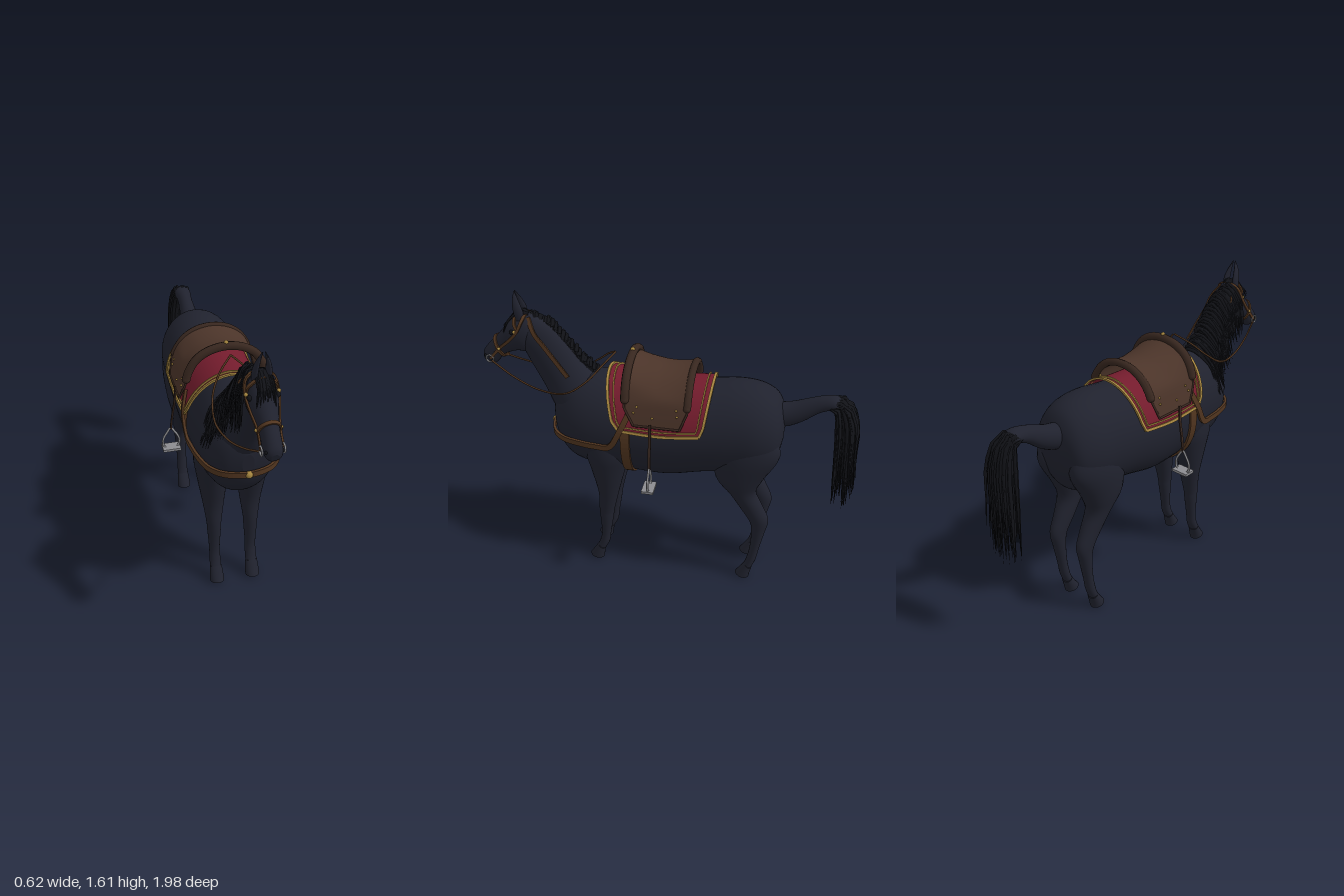
import * as THREE from 'three';
import { mergeGeometries } from 'three/addons/utils/BufferGeometryUtils.js';

const mat = (name, color, side = THREE.FrontSide) => {
  const m = new THREE.MeshStandardMaterial({ color, side });
  m.name = name;
  return m;
};
const V = (x, y, z) => new THREE.Vector3(x, y, z);
const lerp = THREE.MathUtils.lerp;
const mirror = (pts, s) => pts.map(p => V(p[0] * s, p[1], p[2]));
const curve = (pts, closed = false) => new THREE.CatmullRomCurve3(pts, closed);

// Surface through rows of points; wrap joins the last column to the first
function gridGeo(rows, wrap) {
  const n = rows[0].length, idx = [];
  for (let i = 0; i < rows.length - 1; i++) {
    for (let j = 0; j < (wrap ? n : n - 1); j++) {
      const k = (j + 1) % n, a = i * n, b = a + n;
      idx.push(a + j, a + k, b + j, a + k, b + k, b + j);
    }
  }
  const g = new THREE.BufferGeometry().setFromPoints(rows.flat());
  g.setIndex(idx);
  g.computeVertexNormals();
  return g;
}

// Rings are [z1, y1, z2, y2, halfWidth, x]: two opposite points in side view plus a width
function densify(rings, n = 4) {
  const out = [], at = i => rings[Math.min(Math.max(i, 0), rings.length - 1)];
  for (let i = 0; i < rings.length - 1; i++) {
    for (let k = 0; k < n; k++) {
      const t = k / n;
      out.push([0, 1, 2, 3, 4, 5].map(c => {
        const [a, b, d, e] = [at(i - 1), at(i), at(i + 1), at(i + 2)].map(r => r[c] ?? 0);
        return b + 0.5 * t * (d - a + t * (2 * a - 5 * b + 4 * d - e + t * (3 * (b - d) + e - a)));
      }));
    }
  }
  out.push(rings[rings.length - 1]);
  return out;
}
function ringPoint([z1, y1, z2, y2, w, x = 0], a, off = 0) {
  const half = Math.hypot(z1 - z2, y1 - y2) / 2, k = (half + off) / half * Math.cos(a) / 2;
  return V(x + (w + off) * Math.sin(a), (y1 + y2) / 2 + (y1 - y2) * k, (z1 + z2) / 2 + (z1 - z2) * k);
}
function loft(rings, n = 4, segs = 28) {
  const rows = densify(rings, n).map(r => Array.from({ length: segs }, (_, j) => ringPoint(r, j / segs * Math.PI * 2)));
  const cap = row => {
    const c = row.reduce((s, p) => s.add(p), V(0, 0, 0)).divideScalar(segs);
    return row.map(() => c.clone());
  };
  const first = rows[0], last = rows[rows.length - 1];
  return gridGeo([cap(first), first, ...rows, last, cap(last)], true);
}

// Flat leather band along a path, lying against a surface with outward direction out(p)
function strap(pts, width, out, closed = false, thick = 0.008, n = 40) {
  const c = curve(pts, closed), rows = [];
  for (let i = 0; i <= n; i++) {
    const p = c.getPoint(i / n), t = c.getTangent(i / n);
    const b = t.clone().cross(out(p)).normalize(), nn = b.clone().cross(t).normalize();
    rows.push([[-1, 1], [1, 1], [1, -1], [-1, -1]].map(([u, v]) =>
      p.clone().addScaledVector(b, u * width / 2).addScaledVector(nn, v * thick / 2)));
  }
  const g = gridGeo(rows, true).toNonIndexed();
  g.computeVertexNormals();
  return g;
}

// Hair lock: tube narrowing to a point
function lock(pts, r) {
  const n = 8, c = curve(pts), g = new THREE.TubeGeometry(c, n, r, 4), p = g.attributes.position;
  for (let i = 0; i < p.count; i++) {
    const t = Math.floor(i / 5) / n, q = V(0, 0, 0).fromBufferAttribute(p, i), m = c.getPointAt(t);
    q.sub(m).multiplyScalar(1 - 0.95 * t ** 2).add(m);
    p.setXYZ(i, q.x, q.y, q.z);
  }
  g.computeVertexNormals();
  return g;
}

const BODY = [[.62, .98, .612, .87, .03], [.605, 1.06, .575, .77, .11], [.56, 1.11, .51, .69, .16],
  [.48, 1.18, .42, .655, .19], [.36, 1.205, .33, .65, .205], [.2, 1.2, .2, .64, .21], [0, 1.195, 0, .635, .213],
  [-.2, 1.205, -.2, .68, .213], [-.35, 1.222, -.35, .7, .211], [-.46, 1.212, -.46, .72, .204],
  [-.54, 1.175, -.54, .75, .175], [-.582, 1.11, -.578, .83, .13], [-.6, 1.03, -.597, .92, .05]];
const NECK = [[.76, 1.46, .775, 1.33, .05], [.7, 1.485, .755, 1.28, .062], [.62, 1.445, .735, 1.23, .067],
  [.54, 1.355, .7, 1.16, .078], [.47, 1.262, .665, 1.09, .092], [.41, 1.205, .635, 1.02, .115], [.36, 1.17, .58, .9, .15]];
const HEAD = [[.995, 1.245, .985, 1.21, .018], [.988, 1.27, .965, 1.195, .036], [.96, 1.305, .925, 1.2, .043],
  [.92, 1.345, .885, 1.245, .043], [.87, 1.4, .84, 1.27, .052], [.82, 1.455, .79, 1.285, .066],
  [.775, 1.49, .745, 1.285, .07], [.72, 1.495, .72, 1.33, .06], [.68, 1.47, .69, 1.38, .03]];
const DOCK = [[-.56, 1.12, -.54, .98, .06], [-.63, 1.135, -.62, .998, .053], [-.72, 1.168, -.69, 1.035, .044],
  [-.78, 1.185, -.76, 1.09, .041], [-.84, 1.188, -.83, 1.12, .045], [-.9, 1.155, -.88, 1.12, .03]];
const FORELEG = [[.22, .95, .45, .95, .06, .12], [.2, .8, .44, .78, .083, .115], [.225, .68, .415, .66, .08, .105],
  [.27, .5, .385, .5, .057, .1], [.3, .37, .386, .38, .04, .1], [.307, .32, .385, .33, .037, .1],
  [.327, .2, .38, .2, .029, .1], [.337, .13, .392, .135, .03, .1], [.36, .08, .405, .1, .031, .1]];
const HINDLEG = [[-.54, 1.02, -.33, 1, .06, .12], [-.595, .88, -.26, .86, .09, .115], [-.52, .72, -.265, .71, .083, .11],
  [-.485, .62, -.34, .61, .065, .105], [-.525, .52, -.408, .5, .05, .1], [-.562, .43, -.462, .41, .04, .1],
  [-.548, .34, -.475, .33, .035, .1], [-.525, .22, -.472, .22, .029, .1], [-.512, .14, -.458, .135, .03, .1],
  [-.492, .08, -.448, .1, .031, .1]];
const HOOF = [[.362, .075, .405, .1, .033, .1], [.372, .03, .432, .055, .037, .1], [.376, .002, .455, .022, .038, .1]];

const denseBody = densify(BODY, 6);
function bodyPoint(z, a, off) {
  const i = Math.max(1, denseBody.findIndex(r => r[0] <= z)), p = denseBody[i - 1], q = denseBody[i];
  const t = (z - p[0]) / (q[0] - p[0]);
  return ringPoint(p.map((v, c) => lerp(v, q[c] ?? 0, t)), a, off);
}

export function createModel() {
  const coat = mat('black coat', 0x20222e), hair = mat('hair', 0x111217), leather = mat('saddle leather', 0x4b3429, THREE.DoubleSide);
  const roll = mat('dark leather', 0x38271f), tack = mat('tack leather', 0x51351f), red = mat('red cloth', 0x741c2d, THREE.DoubleSide);
  const gold = mat('gold', 0xa5853f), steel = mat('steel', 0x8c8c90);
  const g = new THREE.Group();
  g.name = 'saddledHorse';
  const add = (name, geo, m) => {
    const mesh = new THREE.Mesh(geo, m);
    mesh.name = name;
    g.add(mesh);
    return mesh;
  };
  const ball = (name, r, x, y, z, m) => add(name, new THREE.SphereGeometry(r, 12, 8), m).position.set(x, y, z);
  const tube = (name, pts, r, m, closed = false) => add(name, new THREE.TubeGeometry(curve(pts, closed), 40, r, 8, closed), m);
  let seed = 7;
  const rnd = (a = -1, b = 1) => a + (b - a) * ((seed = seed * 16807 % 2147483647) / 2147483647);

  // Body
  add('torso', loft(BODY, 5, 40), coat);
  add('neck', loft(NECK), coat);
  add('head', loft(HEAD), coat);
  add('tailDock', loft(DOCK), coat);
  for (const s of [1, -1]) {
    const side = rings => rings.map(r => [...r.slice(0, 5), r[5] * s]);
    add('frontLeg', loft(side(FORELEG)), coat);
    add('hindLeg', loft(side(HINDLEG)), coat);
    add('frontHoof', loft(side(HOOF), 2), coat);
    add('hindHoof', loft(side(HOOF.map(r => [r[0] - .855, r[1], r[2] - .855, ...r.slice(3)])), 2), coat);
    add('ear', loft(side([[.785, 1.46, .745, 1.46, .013, .031], [.795, 1.52, .742, 1.51, .013, .03],
      [.797, 1.565, .76, 1.56, .009, .022], [.79, 1.61, .785, 1.61, .002, .006]]), 4, 14), coat);
    ball('eye', .013, s * .06, 1.41, .803, hair);
    ball('nostril', .009, s * .034, 1.248, .972, hair);
  }

  // Mane on the right side, forelock and tail
  const crest = curve([V(0, 1.485, .72), V(0, 1.45, .63), V(0, 1.36, .545), V(0, 1.265, .47), V(0, 1.2, .4)]);
  const mane = [], forelock = [], tail = [];
  for (let i = 0; i < 130; i++) {
    const t = i / 129, p = crest.getPoint(t), w = lerp(.065, .125, t * t), z = p.z + rnd() * .02, f = rnd(.55, 1);
    mane.push(lock([V(.012, p.y - .012, z - .005), V(-.025, p.y + rnd(.006, .02), z),
      V(-w - .012, p.y - .11 * f, z + .035), V(-w - lerp(.03, .085, t) * f, p.y - .28 * f, z + .05 + rnd() * .02)], .011));
  }
  for (let i = 0; i < 16; i++) {
    const x = rnd() * .03;
    forelock.push(lock([V(x * .4, 1.495, .725), V(x, 1.507, .765), V(x * 1.3, 1.46, .825), V(x * 1.6 - .01, rnd(1.38, 1.43), .86)], .009));
  }
  for (let i = 0; i < 130; i++) {
    const x = rnd(), d = rnd(0, 1), end = rnd(.53, .76);
    tail.push(lock([V(x * .03, 1.15, -.79), V(x * .04, 1.13 + d * .045, -.84 - d * .05),
      V(x * .06, 1.02 + d * .03, -.855 - d * .105), V(x * .07, .85, -.865 - d * .11),
      V(x * .075 + rnd() * .01, end, -.875 - d * .115)], .011));
  }
  add('mane', mergeGeometries(mane), hair);
  add('forelock', mergeGeometries(forelock), hair);
  add('tailHair', mergeGeometries(tail), hair);

  // Saddle cloth with braided border
  const A = 1.33, N = 32;
  const cloth = (u, v, off) => {
    const k = Math.abs(u), low = Math.max(0, k - .88) / .12;
    const front = .31 - .06 * k * k - .025 * low, back = -.228 + .03 * k * k + .01 * low;
    return bodyPoint(lerp(front, back, v), u * A, off + .012 * (1 - v) * (1 - k));
  };
  const span = [...Array(N + 1).keys()].map(i => i / N * 2 - 1);
  add('saddleCloth', gridGeo(span.map(u => [...Array(13).keys()].map(j => cloth(u, j / 12, .016))), false), red);
  const fromSpine = p => V(p.x, p.y - .92, 0);
  for (const inset of [0, .06]) {
    const w = inset ? .007 : .014, e = 1 - inset;
    for (const v of [inset, 1 - inset]) add('clothTrim', strap(span.map(u => cloth(u * e, v, .02)), w, fromSpine, false, .01, 64), gold);
    for (const s of [1, -1]) add('clothTrim', strap(span.map(v => cloth(s * e, lerp(inset, e, v / 2 + .5), .02)), w, fromSpine, false, .01), gold);
  }

  // Saddle seat and flaps
  const arch = (z, t, pts) => curve([...pts.slice().reverse().filter(p => p[0] > 0).map(p => V(-p[0], p[1] + t, z)), ...pts.map(p => V(p[0], p[1] + t, z))]);
  const rows = [...Array(17).keys()].map(j => {
    const v = j / 16, top = 1.265 + .05 * (1 - v) ** 2 * (v < .5 ? 1.1 : 1) + .03 * v ** 3;
    const c = arch(0, 0, [[0, top], [.09, top - .018], [.155, top - .06], [.195, 1.175], [.216, 1.1], [.228, 1.04]]);
    return c.getPoints(50).map(p => {
      const low = THREE.MathUtils.clamp((1.13 - p.y) / .09, 0, 1);
      return V(p.x, p.y, lerp(.195 - .05 * low, -.125 + .035 * low, v));
    });
  });
  add('saddleSeat', gridGeo(rows, false), leather);
  for (const j of [0, 16]) tube('flapEdge', rows[j], .006, roll);
  for (const s of [0, 50]) tube('flapHem', rows.map(r => r[s]), .006, roll);
  const bow = (name, z, t, pts, r) => {
    const c = arch(z, t, pts);
    tube(name, c.points, r, roll);
    for (const p of [c.points[0], c.points.at(-1)]) ball(name + 'End', r, p.x, p.y, p.z, roll);
  };
  bow('pommel', .192, 0, [[0, 1.328], [.09, 1.31], [.15, 1.27], [.185, 1.215], [.2, 1.17]], .022);
  bow('cantle', -.122, 0, [[0, 1.282], [.08, 1.268], [.14, 1.23], [.18, 1.18], [.195, 1.15]], .02);
  ball('pommelStud', .012, 0, 1.346, .192, gold);

  // Girth and breast strap
  add('girth', strap([...Array(32).keys()].map(i => bodyPoint(.195, i / 32 * Math.PI * 2, .006)), .048, fromSpine, true, .012, 64), tack);
  const breast = [[.2, 1.1, .17], [.226, 1, .215], [.222, .885, .28], [.215, .876, .35], [.2, .875, .45], [.17, .875, .54], [.113, .875, .6]];
  add('breastStrap', strap([...mirror(breast, 1), V(0, .875, .63), ...mirror(breast, -1).reverse()], .03,
    p => V(p.x, 0, Math.max(0, p.z - .4)), false, .014, 90), tack);
  ball('breastBoss', .018, 0, .875, .633, gold);

  // Bridle
  const around = (r, off) => [...Array(24).keys()].map(i => ringPoint(r, i / 24 * Math.PI * 2, off));
  add('noseband', strap(around([.915, 1.35, .87, 1.25, .045], .005), .017, p => V(p.x, p.y - 1.3, p.z - .892), true), tack);
  const fromPoll = p => V(p.x, p.y - 1.38, p.z - .76);
  const browHalf = [[.066, 1.42, .77], [.062, 1.455, .785]];
  add('browband', strap([...mirror(browHalf, 1), V(0, 1.495, .79), ...mirror(browHalf, -1).reverse()], .015, fromPoll), tack);
  const cheek = [[.05, 1.24, .943], [.05, 1.305, .885], [.066, 1.365, .82], [.074, 1.42, .772], [.06, 1.475, .745]];
  add('headstall', strap([...mirror(cheek, 1), V(0, 1.5, .735), ...mirror(cheek, -1).reverse()], .015, p => V(p.x, Math.max(0, p.y - 1.42), 0), false, .008, 60), tack);
  for (const s of [1, -1]) {
    add('neckStrap', strap(mirror([[.03, 1.485, .72], [.068, 1.42, .685], [.073, 1.35, .635], [.086, 1.27, .57], [.095, 1.2, .515]], s), .022, p => V(p.x, 0, 0)), tack);
    ball('bridleStud', .009, s * .072, 1.418, .785, gold);
    ball('bridleStud', .008, s * .055, 1.305, .888, gold);
    const ring = add('bitRing', new THREE.TorusGeometry(.02, .0045, 8, 20), steel);
    ring.position.set(s * .05, 1.24, .945);
    ring.rotation.y = Math.PI / 2;
    tube('rein', mirror([[.052, 1.23, .935], [.09, 1.17, .81], [.122, 1.125, .66], [.14, 1.13, .52], [.12, 1.2, .41], [.07, 1.27, .34], [0, 1.325, .28]], s), .005, tack);

    // Stirrups and saddle studs
    add('stirrupLeather', strap(mirror([[.232, 1.06, .06], [.236, .98, .06], [.252, .88, .06], [.262, .8, .06]], s), .014, () => V(s, 0, 0)), roll);
    tube('stirrupIron', mirror([[.262, .806, .06], [.283, .78, .06], [.305, .735, .06], [.296, .69, .06], [.228, .69, .06], [.219, .735, .06], [.241, .78, .06]], s), .006, steel, true);
    const tread = add('stirrupTread', new THREE.BoxGeometry(.095, .014, .064), steel);
    tread.position.set(s * .263, .685, .062);
    for (const [x, y, z] of [[.217, 1.11, .145], [.217, 1.11, -.075], [.22, 1.09, .05], [.207, 1.14, .13], [.207, 1.14, -.07]])
      ball('saddleStud', .006, s * x, y, z, gold);
  }
  return g;
}
